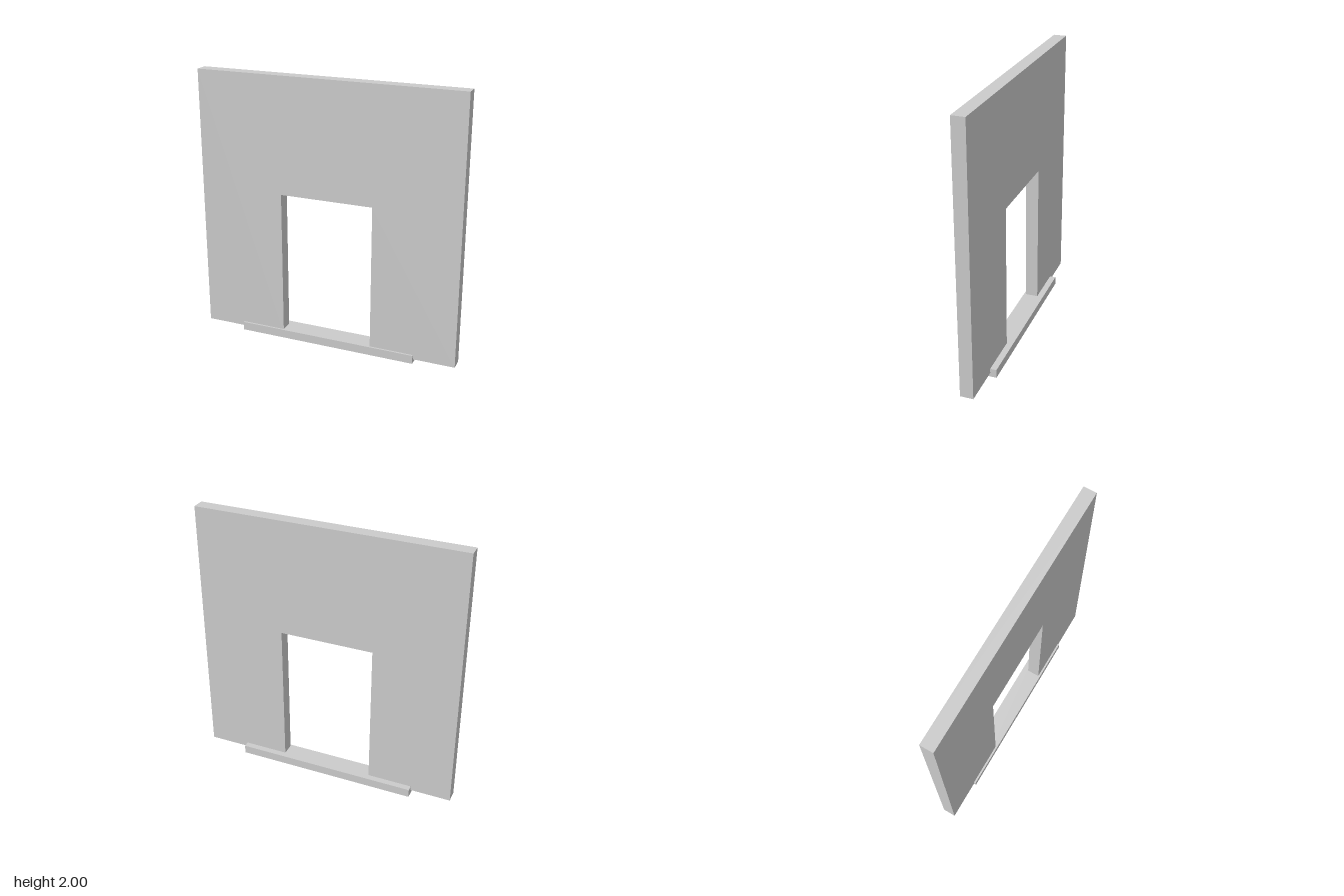
import * as THREE from 'three';

export function createModel() {
  const group = new THREE.Group();
  const material = new THREE.MeshStandardMaterial({ color: 0xcccccc, flatShading: true });

  // Wall panel with a doorway open at the bottom
  const wallHalf = 0.983, bottom = 0.03, top = 2;
  const doorLeft = 0.345, doorRight = -0.348, doorTop = 1.14;
  const outline = new THREE.Shape([
    [-wallHalf, bottom], [doorRight, bottom], [doorRight, doorTop], [doorLeft, doorTop],
    [doorLeft, bottom], [wallHalf, bottom], [wallHalf, top], [-wallHalf, top],
  ].map(([x, y]) => new THREE.Vector2(x, y)));
  const wall = new THREE.Mesh(
    new THREE.ExtrudeGeometry(outline, { depth: 0.096, bevelEnabled: false }), material);
  wall.name = 'wall';
  wall.position.z = -0.032;
  group.add(wall);

  // Threshold slab running through the foot of the wall
  const threshold = new THREE.Mesh(new THREE.BoxGeometry(1.358, 0.064, 0.156), material);
  threshold.name = 'threshold';
  threshold.position.set(-0.004, 0.032, 0);
  group.add(threshold);

  return group;
}
